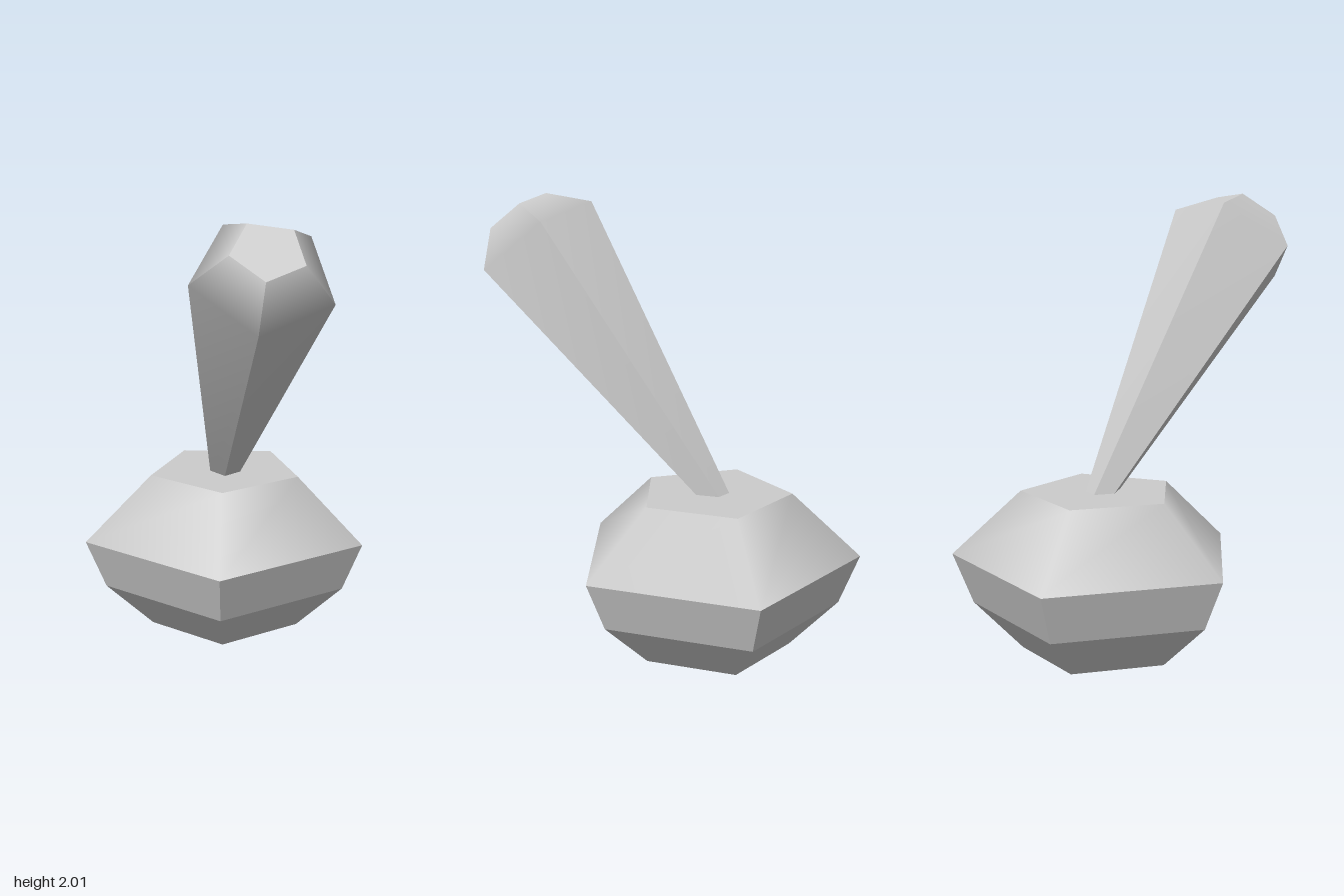
import * as THREE from 'three';

const SIDES = 5;

function makeMaterial(flatShading = false) {
  return new THREE.MeshStandardMaterial({ color: 0xcccccc, side: THREE.DoubleSide, flatShading });
}

function addMesh(parent, name, geometry, flat = false) {
  const mesh = new THREE.Mesh(geometry, makeMaterial(flat));
  mesh.name = name;
  parent.add(mesh);
  return mesh;
}

// One long side of the pestle: a strip over all rings, smooth lengthwise and sharp at its borders
function sideStrip(rings, side) {
  const positions = [], index = [];
  rings.forEach(([r, y], i) => {
    for (const k of [side, side + 1]) {
      const a = (k / SIDES) * Math.PI * 2;
      positions.push(r * Math.sin(a), y, r * Math.cos(a));
    }
    if (i > 0) {
      const b = 2 * (i - 1);
      index.push(b, b + 1, b + 3, b, b + 3, b + 2);
    }
  });
  const geometry = new THREE.BufferGeometry();
  geometry.setAttribute('position', new THREE.Float32BufferAttribute(positions, 3));
  geometry.setIndex(index);
  geometry.computeVertexNormals();
  return geometry;
}

// Five-sided mortar: a thin shell, closed on top and open below
function createMortar() {
  const mortar = new THREE.Group();
  mortar.name = 'mortar';
  const profile = [[0.355, 0], [0.575, 0.21], [0.667, 0.435], [0.355, 0.73]];
  const names = ['lowerSlope', 'middleBand', 'upperSlope'];
  names.forEach((name, i) => {
    const [r0, y0] = profile[i], [r1, y1] = profile[i + 1];
    const band = new THREE.CylinderGeometry(r1, r0, y1 - y0, SIDES, 1, true, Math.PI / 2);
    band.translate(0, (y0 + y1) / 2, 0);
    addMesh(mortar, name, band, name === 'middleBand');
  });
  const top = new THREE.CircleGeometry(0.355, SIDES).rotateX(-Math.PI / 2).translate(0, 0.73, 0);
  addMesh(mortar, 'topFace', top);
  mortar.position.set(-0.09, 0, -0.18);
  return mortar;
}

// Five-sided pestle: tapered shaft, bevelled head, leaning forward and sideways
function createPestle() {
  const pestle = new THREE.Group();
  pestle.name = 'pestle';
  const rings = [[0.061, 0.36], [0.305, 1.79], [0.158, 1.942]];
  for (let s = 0; s < SIDES; s++) addMesh(pestle, 'pestleSide', sideStrip(rings, s));

  // CircleGeometry starts on +x, the strips start on +z
  const cap = (r, y, dir) => new THREE.CircleGeometry(r, SIDES, dir * Math.PI / 2)
    .rotateX(-dir * Math.PI / 2).rotateY(dir > 0 ? Math.PI : 0).translate(0, y, 0);
  addMesh(pestle, 'headFace', cap(0.158, 1.942, 1));
  addMesh(pestle, 'footFace', cap(0.061, 0.36, -1).rotateY(Math.PI).rotateY(Math.PI));

  // Lean: y along the shaft, z towards one corner of the head
  const axis = new THREE.Vector3(0.319, 0.773, 0.549).normalize();
  const across = new THREE.Vector3().crossVectors(axis, new THREE.Vector3(0.944, -0.32, -0.098)).normalize();
  const corner = new THREE.Vector3().crossVectors(across, axis);
  pestle.quaternion.setFromRotationMatrix(new THREE.Matrix4().makeBasis(across, axis, corner));
  pestle.position.set(-0.22, 0.415, -0.397);
  return pestle;
}

export function createModel() {
  const model = new THREE.Group();
  model.name = 'mortarAndPestle';
  model.add(createMortar(), createPestle());
  return model;
}
